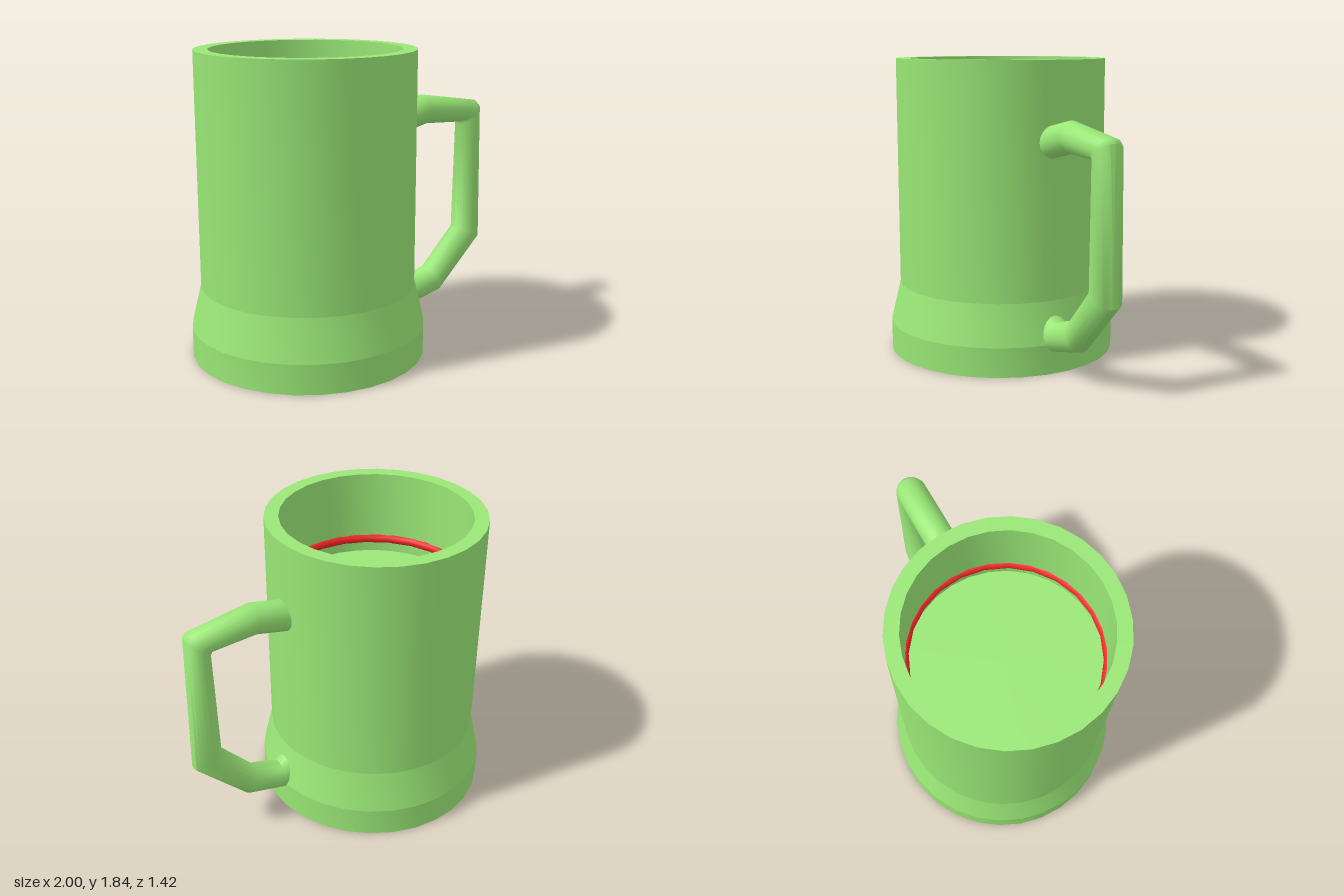
import * as THREE from 'three';
import { toCreasedNormals } from 'three/addons/utils/BufferGeometryUtils.js';

const green = new THREE.MeshStandardMaterial({ color: 0x99e676 });
const red = new THREE.MeshStandardMaterial({ color: 0xf02424 });

function part(name, geometry, material, x = 0, y = 0) {
  const mesh = new THREE.Mesh(geometry, material);
  mesh.name = name;
  mesh.position.set(x, y, 0);
  return mesh;
}

// Tube whose rings are given by their outer and inner edge points in the xy plane
function bentTube(rings, halfWidth, sides) {
  const pos = [], index = [];
  for (const [ox, oy, ix, iy] of rings) {
    for (let j = 0; j < sides; j++) {
      const a = (j / sides) * Math.PI * 2, c = Math.cos(a) / 2;
      pos.push((ox + ix) / 2 + c * (ox - ix), (oy + iy) / 2 + c * (oy - iy), halfWidth * Math.sin(a));
    }
  }
  for (let i = 0; i < rings.length - 1; i++) {
    for (let j = 0; j < sides; j++) {
      const a = i * sides + j, b = i * sides + (j + 1) % sides;
      index.push(a, b, a + sides, b, b + sides, a + sides);
    }
  }
  // End caps
  const last = (rings.length - 1) * sides;
  for (let j = 1; j < sides - 1; j++) {
    index.push(0, j + 1, j, last, last + j, last + j + 1);
  }
  const g = new THREE.BufferGeometry();
  g.setAttribute('position', new THREE.Float32BufferAttribute(pos, 3));
  g.setIndex(index);
  return toCreasedNormals(g, 0.75);
}

export function createModel() {
  const group = new THREE.Group();
  const cx = -0.293;

  // Hollow body with a flared foot
  const profile = [
    [0, 0], [0.71, 0], [0.71, 0.18], [0.65, 0.43], [0.65, 1.84],
    [0.565, 1.84], [0.565, 1.31], [0, 1.31],
  ].map(([r, y]) => new THREE.Vector2(r, y));
  group.add(part('body', toCreasedNormals(new THREE.LatheGeometry(profile, 30), 0.222), green, cx));

  // Coloured ring set into the inner wall
  const ring = new THREE.TorusGeometry(0.577, 0.03, 10, 24).rotateX(Math.PI / 2);
  group.add(part('innerRing', ring, red, cx, 1.395));

  // Angular handle with a softened upper corner
  const rings = [
    [0.31, 1.46, 0.31, 1.265],
    [0.54, 1.51, 0.56, 1.325],
    [0.95, 1.447, 0.826, 1.314],
    [0.975, 1.42, 0.834, 1.296],
    [0.996, 0.53, 0.815, 0.61],
    [0.675, 0.2, 0.595, 0.37],
    [0.41, 0.13, 0.42, 0.315],
    [0.34, 0.13, 0.345, 0.36],
  ];
  group.add(part('handle', bentTube(rings, 0.091, 20), green));
  return group;
}
